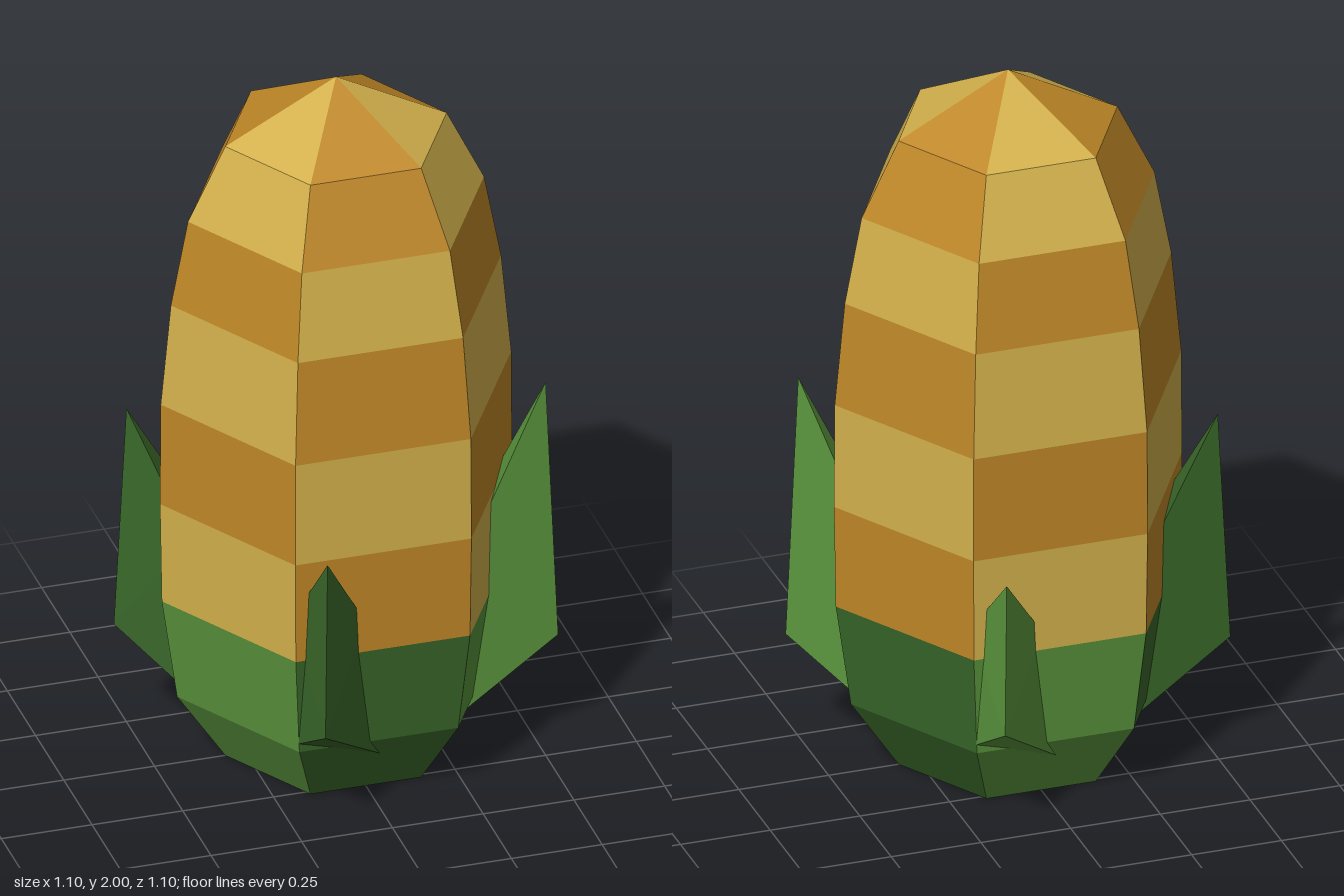
import * as THREE from 'three';

const material = (name, color) => {
  const m = new THREE.MeshStandardMaterial({ color, flatShading: true });
  m.name = name;
  return m;
};

// Flat-shaded mesh from polygons (triangles or quads, counter-clockwise from outside)
function facetMesh(name, polygons, mat) {
  const pos = [];
  for (const p of polygons)
    for (let i = 1; i < p.length - 1; i++) pos.push(...p[0], ...p[i], ...p[i + 1]);
  const g = new THREE.BufferGeometry();
  g.setAttribute('position', new THREE.Float32BufferAttribute(pos, 3));
  g.computeVertexNormals();
  const mesh = new THREE.Mesh(g, mat);
  mesh.name = name;
  return mesh;
}

// Hexagonal cob profile: [radius, height]
const rings = [
  [0.305, 0], [0.438, 0.2], [0.48, 0.495], [0.485, 0.79], [0.483, 1.09],
  [0.455, 1.385], [0.408, 1.63], [0.305, 1.84], [0, 2],
];

function ringPoint(ring, k) {
  const [r, y] = rings[ring];
  const a = (k * Math.PI) / 3;
  return [r * Math.cos(a), y, r * Math.sin(a)];
}

// Point on the line from a through b, pushed on into the cob
const extend = (a, b, t) => a.map((v, i) => v + (b[i] - v) * t);

// Folded husk leaf growing on the +x side, with its tip at the given height
function leaf(name, tipHeight, mat) {
  const base = 0.33;
  const k = (tipHeight - base) / 0.76;
  const lift = ([x, y, z]) => [x, base + (y - base) * k, z];
  const ridge = [0.55, base, 0.2];
  const tip = lift([0.52, 1.09, 0.185]);
  const lowA = extend(ridge, [0.29, 0.17, 0.234], 1.15);
  const lowB = extend(ridge, [0.41, 0.2, 0.055], 1.5);
  const highA = extend(tip, lift([0.36, 0.77, 0.216]), 1.2);
  const highB = extend(tip, lift([0.433, 0.83, 0.09]), 1.5);
  return facetMesh(name, [
    [ridge, tip, highA, lowA],
    [ridge, lowB, highB, tip],
    [ridge, lowA, lowB],
    [tip, highB, highA],
  ], mat);
}

export function createModel() {
  const yellow = material('kernel yellow', 0xd2b04b);
  const orange = material('kernel orange', 0xbe8727);
  const lightGreen = material('light husk green', 0x5a953d);
  const darkGreen = material('dark husk green', 0x3a682a);

  const model = new THREE.Group();
  model.name = 'cornCob';

  // Cob facets: green husk below, checkered kernels above, tip in the colour of the last band
  const facets = { yellow: [], orange: [], light: [], dark: [] };
  for (let band = 0; band < 8; band++) {
    for (let k = 0; k < 6; k++) {
      const quad = [ringPoint(band, k + 1), ringPoint(band, k), ringPoint(band + 1, k)];
      if (band < 7) quad.push(ringPoint(band + 1, k + 1));
      const even = k % 2 === 0;
      if (band < 2) facets[even ? 'light' : 'dark'].push(quad);
      else facets[(Math.min(band, 6) + k) % 2 === 0 ? 'yellow' : 'orange'].push(quad);
    }
  }
  model.add(
    facetMesh('yellowKernels', facets.yellow, yellow),
    facetMesh('orangeKernels', facets.orange, orange),
    facetMesh('lightHusk', facets.light, lightGreen),
    facetMesh('darkHusk', facets.dark, darkGreen),
  );

  // Underside
  const base = new THREE.Mesh(new THREE.CircleGeometry(0.305, 6).rotateX(Math.PI / 2), orange);
  base.name = 'cobBase';
  model.add(base);

  // Four leaves, a quarter turn apart: left, front, right, back
  const leaves = [
    ['leftLeaf', 1.09, lightGreen],
    ['frontLeaf', 0.835, darkGreen],
    ['rightLeaf', 0.985, darkGreen],
    ['backLeaf', 0.755, lightGreen],
  ];
  leaves.forEach(([name, height, mat], i) => {
    const mesh = leaf(name, height, mat);
    mesh.rotation.y = (-i * Math.PI) / 2;
    model.add(mesh);
  });

  return model;
}
